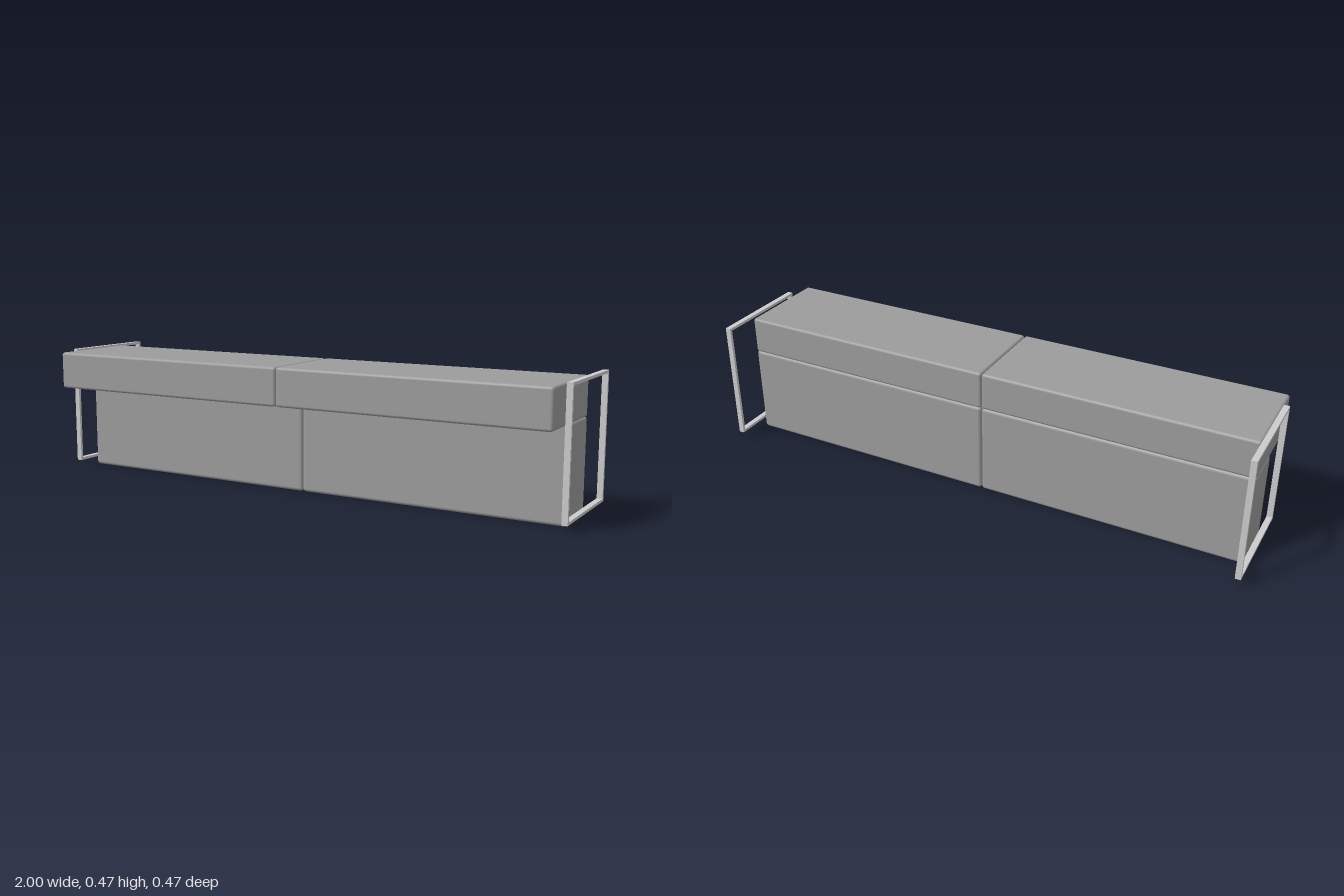
import * as THREE from 'three';
import { RoundedBoxGeometry } from 'three/addons/geometries/RoundedBoxGeometry.js';

const fabric = new THREE.MeshStandardMaterial({ color: 0x9c9c9c });
const metal = new THREE.MeshStandardMaterial({ color: 0xcccccc });

// Soft block given by its min and max corners
function cushion(name, [x0, y0, z0], [x1, y1, z1], radius) {
  const geometry = new RoundedBoxGeometry(x1 - x0, y1 - y0, z1 - z0, 4, radius);
  const mesh = new THREE.Mesh(geometry, fabric);
  mesh.position.set((x0 + x1) / 2, (y0 + y1) / 2, (z0 + z1) / 2);
  mesh.name = name;
  return mesh;
}

// Rectangular outline in the z-y plane, extruded along x
function sideFrame(name, x0, width) {
  const [z0, z1, y0, y1, bar] = [-0.235, 0.145, 0.029, 0.472, 0.01];
  const rectangle = (Path, inset) => new Path([
    new THREE.Vector2(-z1 + inset, y0 + inset),
    new THREE.Vector2(-z0 - inset, y0 + inset),
    new THREE.Vector2(-z0 - inset, y1 - inset),
    new THREE.Vector2(-z1 + inset, y1 - inset),
  ]);
  const shape = rectangle(THREE.Shape, 0);
  shape.holes.push(rectangle(THREE.Path, bar));
  const geometry = new THREE.ExtrudeGeometry(shape, { depth: width, bevelEnabled: false });
  geometry.rotateY(Math.PI / 2);
  const mesh = new THREE.Mesh(geometry, metal);
  mesh.position.x = x0;
  mesh.name = name;
  return mesh;
}

export function createModel() {
  const model = new THREE.Group();
  model.name = 'sofa';

  // Two matching halves: an overhanging top cushion on an upright one
  for (const [side, x0, x1] of [['right', -0.979, -0.005], ['left', -0.003, 0.971]]) {
    model.add(
      cushion(`${side}LowerCushion`, [x0, 0, -0.115], [x1, 0.333, 0.057], 0.012),
      cushion(`${side}UpperCushion`, [x0, 0.33, -0.113], [x1, 0.467, 0.235], 0.01),
    );
  }

  // Open metal frames at both ends
  model.add(sideFrame('rightFrame', -1, 0.02), sideFrame('leftFrame', 0.98, 0.02));
  return model;
}
